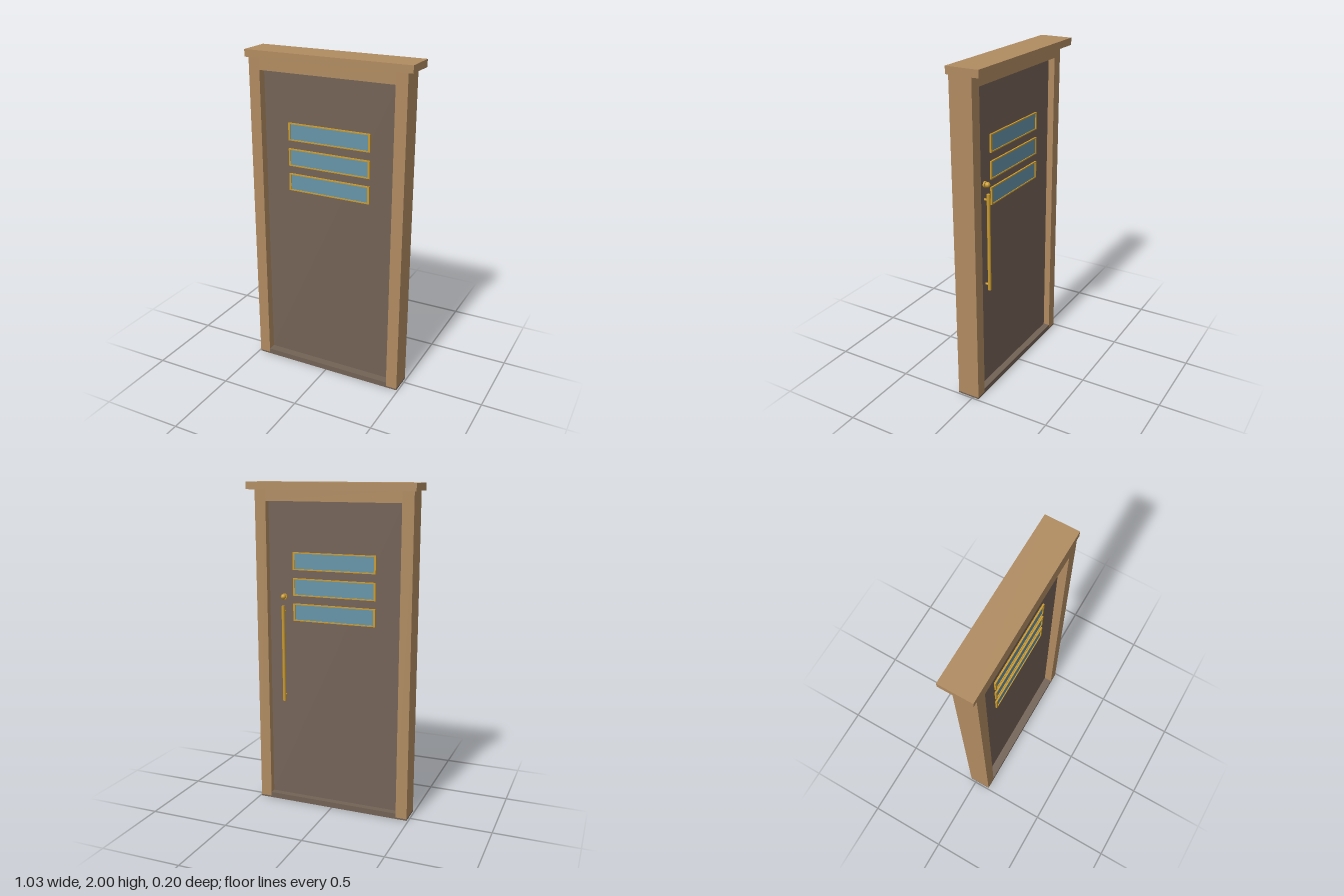
import * as THREE from 'three';

export function createModel() {
  const model = new THREE.Group();
  model.name = 'door';
  const mat = (name, color) => {
    const m = new THREE.MeshStandardMaterial({ color });
    m.name = name;
    return m;
  };
  const wood = mat('tanWood', 0xb08b60);
  const panel = mat('darkBrown', 0x736256);
  const glass = mat('blueGlass', 0x6594a8);
  const brass = mat('brass', 0xc99a2e);

  const add = (name, geometry, material, x = 0, y = 0, z = 0) => {
    const mesh = new THREE.Mesh(geometry, material);
    mesh.name = name;
    mesh.position.set(x, y, z);
    model.add(mesh);
    return mesh;
  };
  // Box given by its minimum and maximum corners
  const box = (name, material, [x0, y0, z0], [x1, y1, z1]) =>
    add(name, new THREE.BoxGeometry(x1 - x0, y1 - y0, z1 - z0), material,
      (x0 + x1) / 2, (y0 + y1) / 2, (z0 + z1) / 2);

  // Frame: two jambs, a header and a cap overhanging the back
  box('leftJamb', wood, [0.42, 0.01, -0.04], [0.49, 1.957, 0.1]);
  box('rightJamb', wood, [-0.49, 0.01, -0.04], [-0.42, 1.957, 0.1]);
  box('header', wood, [-0.42, 1.89, -0.04], [0.42, 1.957, 0.1]);
  box('cap', wood, [-0.517, 1.957, -0.1], [0.517, 2, 0.1]);

  // Threshold under the jambs and across the opening
  box('thresholdBase', panel, [-0.49, 0, -0.04], [0.49, 0.01, 0.1]);
  box('threshold', panel, [-0.42, 0.01, -0.04], [0.42, 0.035, 0.1]);

  // Door leaf
  box('doorPanel', panel, [-0.42, 0.035, 0], [0.42, 1.89, 0.05]);

  // Three windows, trimmed on both faces
  const rect = (Type, w, h) => {
    const r = new Type();
    r.moveTo(-w, -h);
    r.lineTo(w, -h);
    r.lineTo(w, h);
    r.lineTo(-w, h);
    r.closePath();
    return r;
  };
  const trimShape = rect(THREE.Shape, 0.262, 0.053);
  trimShape.holes.push(rect(THREE.Path, 0.25, 0.046));
  const trim = new THREE.ExtrudeGeometry(trimShape, { depth: 0.07, bevelEnabled: false });
  const pane = new THREE.BoxGeometry(0.502, 0.094, 0.06);
  for (const y of [1.538, 1.382, 1.228]) {
    add('windowTrim', trim, brass, 0, y, -0.01);
    add('windowGlass', pane, glass, 0, y, 0.025);
  }

  // Pull bar with standoffs and a lock knob on the back
  const hx = 0.322;
  add('pullBar', new THREE.CylinderGeometry(0.01, 0.01, 0.6, 12), brass, hx, 0.965, -0.025);
  const post = new THREE.CylinderGeometry(0.007, 0.007, 0.026, 10).rotateX(Math.PI / 2);
  for (const y of [0.7, 1.23]) add('pullStandoff', post, brass, hx, y, -0.012);
  add('lockPlate', new THREE.CylinderGeometry(0.018, 0.018, 0.01, 16).rotateX(Math.PI / 2),
    brass, hx, 1.32, -0.004);
  add('lockKnob', new THREE.SphereGeometry(0.016, 14, 10), brass, hx, 1.32, -0.02);

  return model;
}
